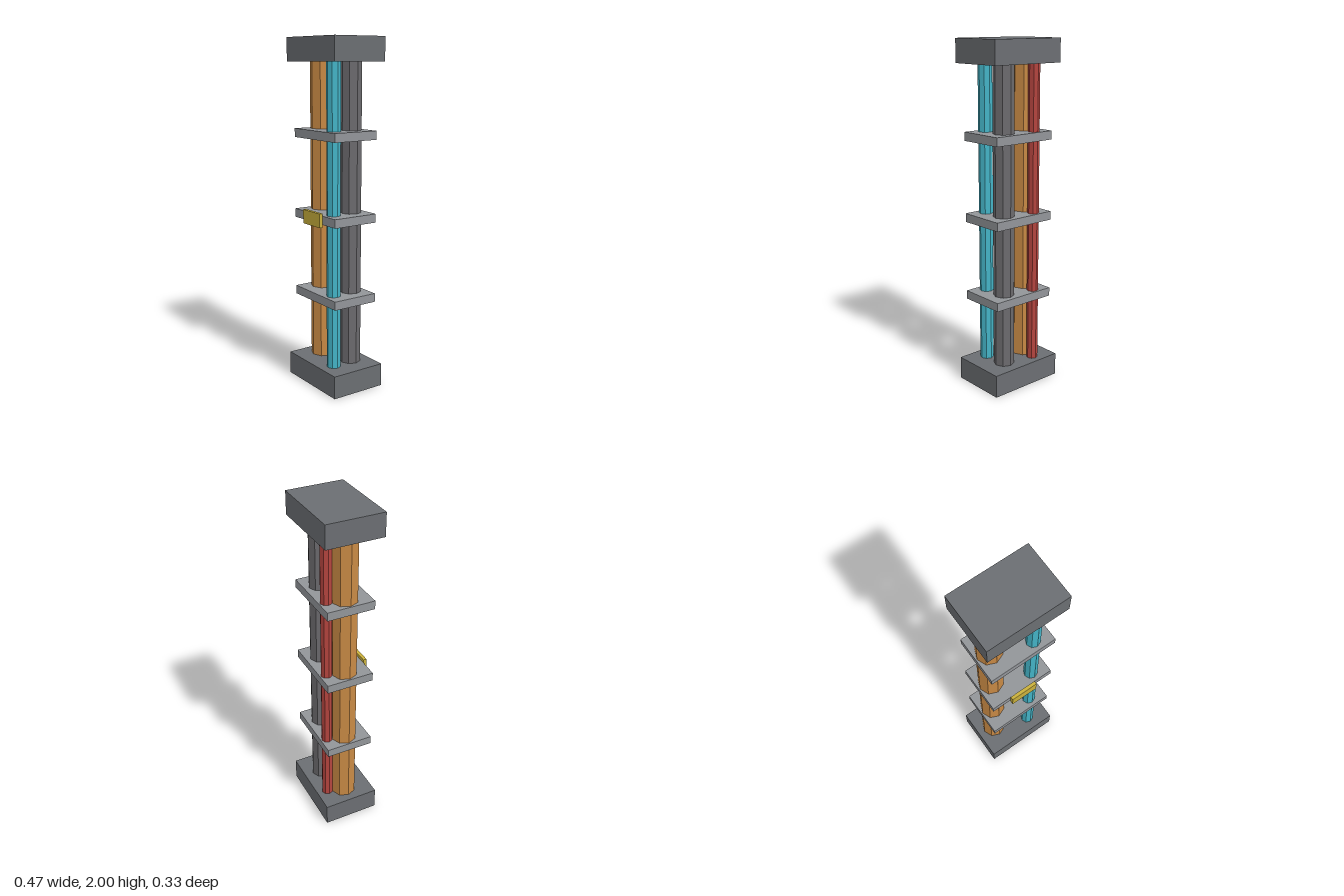
import * as THREE from 'three';

const mat = (name, color) => {
  const m = new THREE.MeshStandardMaterial({ color, flatShading: true });
  m.name = name;
  return m;
};

export function createModel() {
  const model = new THREE.Group();
  model.name = 'pipeBundle';

  const darkGrey = mat('dark grey', 0x6b6e72);
  const midGrey = mat('pipe grey', 0x6c6b6e);
  const lightGrey = mat('light grey', 0x929599);
  const copper = mat('copper', 0xc98a45);
  const cyan = mat('cyan', 0x45b5c8);
  const red = mat('red', 0xb5453f);
  const yellow = mat('yellow', 0xc9b03c);

  const add = (name, geometry, material, x, y, z) => {
    const mesh = new THREE.Mesh(geometry, material);
    mesh.name = name;
    mesh.position.set(x, y, z);
    model.add(mesh);
  };

  // End blocks
  const capHeight = 0.133;
  const cap = new THREE.BoxGeometry(0.467, capHeight, 0.333);
  add('bottomBlock', cap, darkGrey, 0, capHeight / 2, 0);
  add('topBlock', cap, darkGrey, 0, 2 - capHeight / 2, 0);

  // Eight-sided pipes running between the blocks: name, material, radius, x, z
  const pipes = [
    ['copperPipe', copper, 0.073, -0.12, 0],
    ['greyPipe', midGrey, 0.06, 0.08, -0.053],
    ['cyanPipe', cyan, 0.04, 0.1, 0.08],
    ['redPipe', red, 0.033, -0.1, -0.1],
  ];
  for (const [name, material, r, x, z] of pipes) {
    add(name, new THREE.CylinderGeometry(r, r, 1.74, 8), material, x, 1, z);
  }

  // Bracket plates holding the pipes
  const plate = new THREE.BoxGeometry(0.4, 0.05, 0.28);
  [0.533, 1, 1.467].forEach((y, i) => add(`bracket${i + 1}`, plate, lightGrey, 0, y, 0));

  // Tag in front of the middle bracket
  add('frontTag', new THREE.BoxGeometry(0.165, 0.08, 0.02), yellow, 0, 1, 0.153);

  return model;
}
